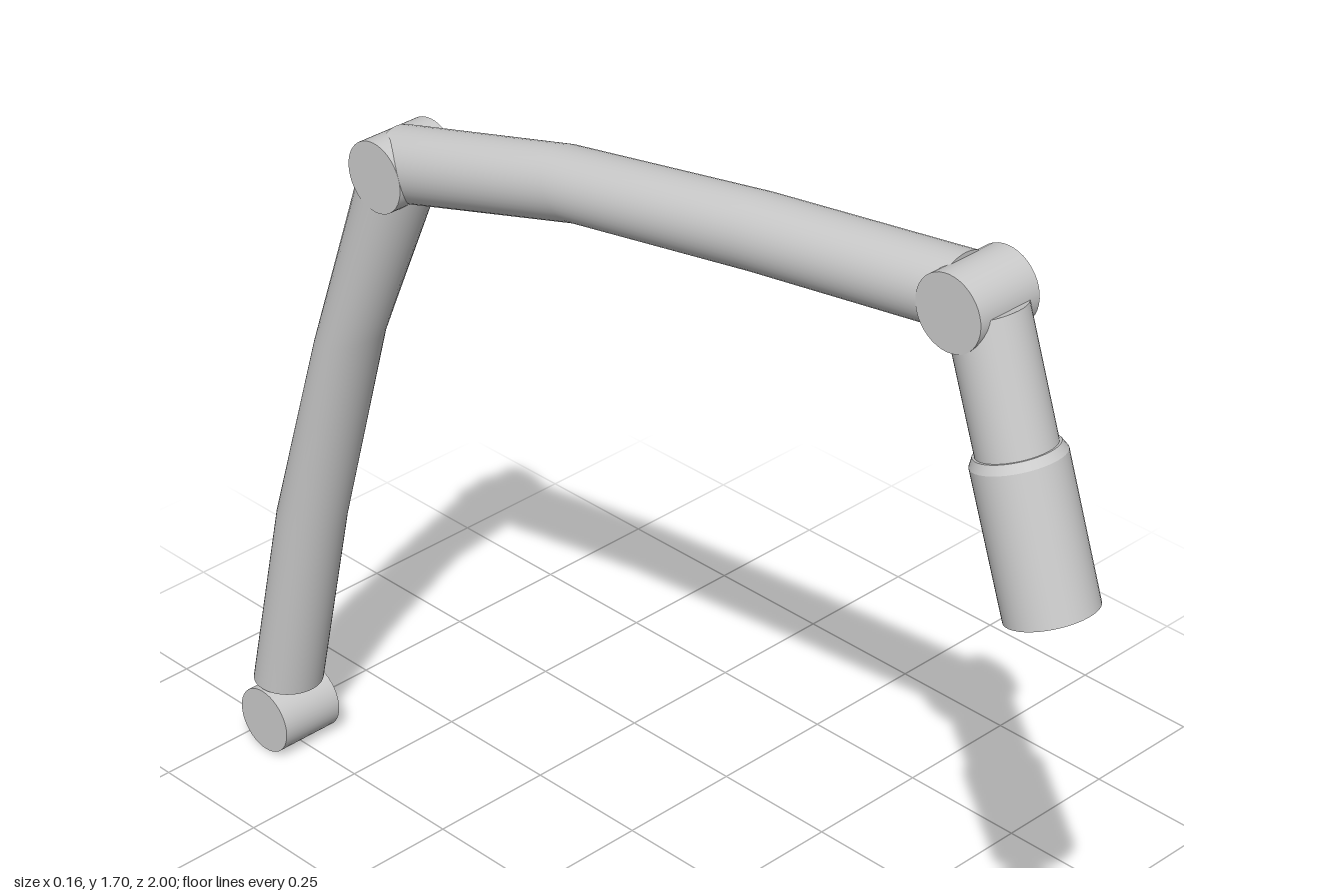
import * as THREE from 'three';
import { mergeGeometries } from 'three/addons/utils/BufferGeometryUtils.js';

const material = new THREE.MeshStandardMaterial({ color: 0xcccccc });
const SIDES = 40;
const R = 0.066;

function part(name, geometry, parent) {
  const mesh = new THREE.Mesh(geometry, material);
  mesh.name = name;
  parent.add(mesh);
  return mesh;
}

// Smooth strip through closed rings given as { z, y, hz, hy, rx }
function strip(rings) {
  const pos = [], index = [];
  rings.forEach((r, i) => {
    for (let j = 0; j < SIDES; j++) {
      const t = (j / SIDES) * Math.PI * 2;
      pos.push(r.rx * Math.cos(t), r.y + r.hy * Math.sin(t), r.z + r.hz * Math.sin(t));
      if (i === 0) continue;
      const k = (j + 1) % SIDES;
      const a = (i - 1) * SIDES + j, b = (i - 1) * SIDES + k;
      const c = i * SIDES + j, d = i * SIDES + k;
      index.push(a, c, b, b, c, d);
    }
  });
  const g = new THREE.BufferGeometry();
  g.setAttribute('position', new THREE.Float32BufferAttribute(pos, 3));
  g.setIndex(index);
  g.computeVertexNormals();
  return g;
}

// Capped bent tube; each section is [z, y] of its inner edge, then of its outer edge
function bentTube(sections) {
  const rings = sections.map(([z1, y1, z2, y2]) => ({
    z: (z1 + z2) / 2, y: (y1 + y2) / 2, hz: (z1 - z2) / 2, hy: (y1 - y2) / 2, rx: R,
  }));
  const point = (r) => ({ ...r, hz: 0, hy: 0, rx: 0 });
  const first = rings[0], last = rings[rings.length - 1];
  return mergeGeometries([
    strip([point(first), first]), strip(rings), strip([last, point(last)]),
  ]);
}

export function createModel() {
  const model = new THREE.Group();
  model.name = 'jointedArm';

  // Pivot barrels lying across the arm
  const joints = [
    ['baseJoint', 0.068, -0.932],
    ['elbowJoint', 1.372, -0.555],
    ['headJoint', 1.63, 0.747],
  ];
  for (const [name, y, z] of joints) {
    const g = new THREE.CylinderGeometry(R, R, 2 * R, SIDES).rotateZ(Math.PI / 2);
    part(name, g, model).position.set(0, y, z);
  }

  // Lower arm, bending forward as it rises
  part('lowerArm', bentTube([
    [-0.865, 0.14, -1.0, 0.14],
    [-0.775, 0.545, -0.905, 0.555],
    [-0.65, 0.99, -0.775, 0.96],
    [-0.5, 1.325, -0.625, 1.395],
  ]), model);

  // Upper arm, from the elbow to the head joint
  part('upperArm', bentTube([
    [-0.507, 1.318, -0.57, 1.442],
    [-0.1, 1.437, -0.165, 1.552],
    [0.3, 1.505, 0.29, 1.635],
    [0.715, 1.567, 0.72, 1.698],
  ]), model);

  // Head hanging forward: neck, chamfered collar and wider sleeve
  const head = new THREE.Group();
  head.name = 'head';
  head.position.set(0, 1.152, 0.927);
  head.rotation.x = -0.33;
  model.add(head);
  const stack = [
    ['sleeve', 0.078, 0.078, 0, 0.255],
    ['collar', 0.07, 0.078, 0.255, 0.27],
    ['neck', R, R, 0.25, 0.495],
  ];
  for (const [name, top, bottom, y0, y1] of stack) {
    part(name, new THREE.CylinderGeometry(top, bottom, y1 - y0, SIDES), head).position.y = (y0 + y1) / 2;
  }
  return model;
}
